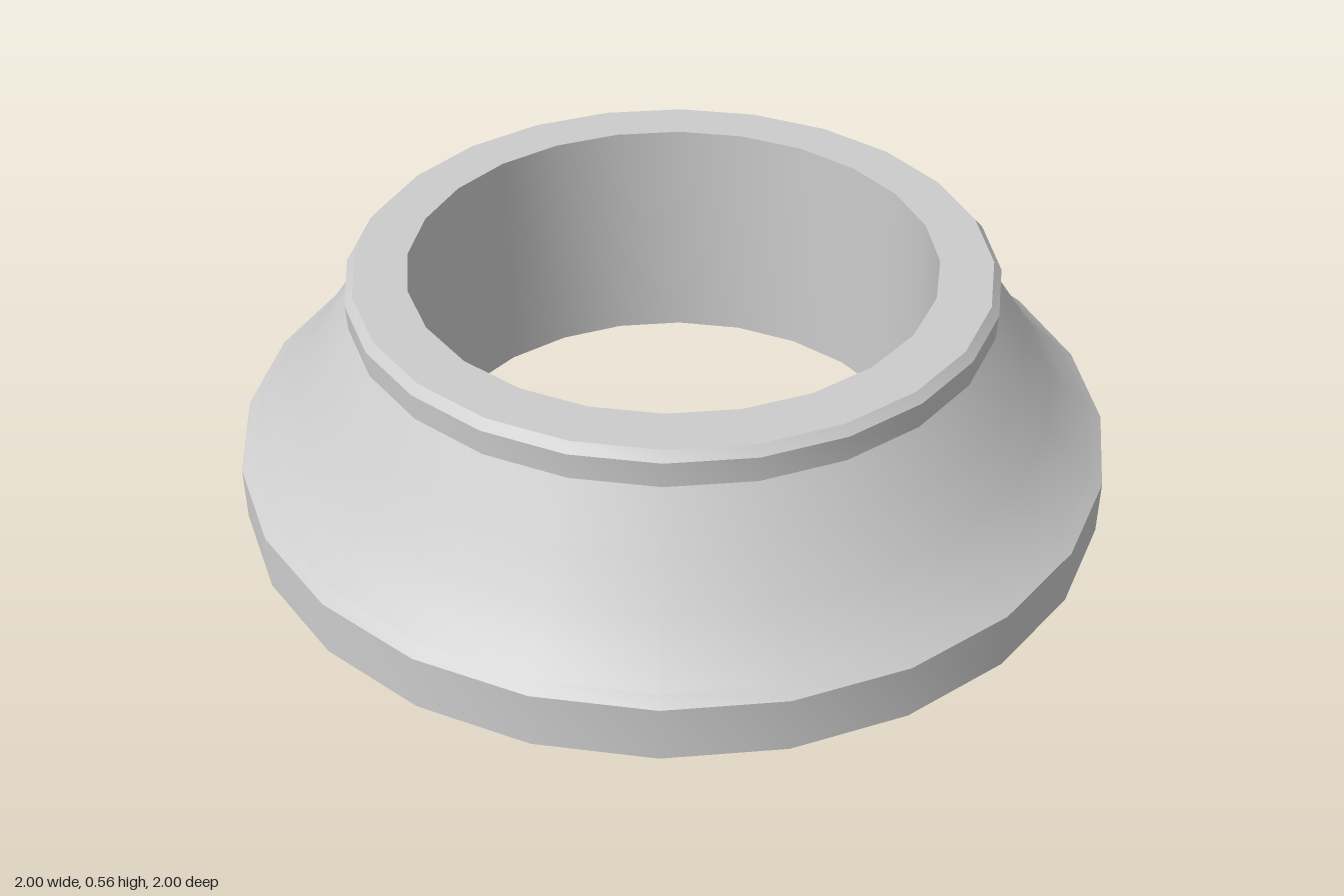
import * as THREE from 'three';
import { toCreasedNormals } from 'three/addons/utils/BufferGeometryUtils.js';

const SIDES = 24;
const BORE = 0.595;

export function createModel() {
  const group = new THREE.Group();
  group.name = 'flaredCollar';
  const grey = new THREE.MeshStandardMaterial({ color: 0xcccccc });
  grey.name = 'light grey';

  // Revolves a [radius, height] profile, keeping bevel edges crisp
  function ring(name, profile) {
    const points = profile.map(([r, y]) => new THREE.Vector2(r, y));
    const geometry = toCreasedNormals(new THREE.LatheGeometry(points, SIDES), 0.6);
    const mesh = new THREE.Mesh(geometry, grey);
    mesh.name = name;
    group.add(mesh);
  }

  // Flat underside and upright base band with small bevels
  ring('baseFlange', [[BORE, 0], [0.98, 0], [1, 0.015], [1, 0.145], [0.975, 0.165]]);

  // Concave flare from the base up to the neck
  ring('flaredCove', [[0.975, 0.165], [0.925, 0.21], [0.865, 0.28], [0.8, 0.378], [0.73, 0.485]]);

  // Upright lip and flat top
  ring('topRim', [[0.73, 0.485], [0.733, 0.545], [0.715, 0.565], [BORE, 0.565]]);

  // Straight inner wall
  ring('bore', [[BORE, 0.565], [BORE, 0]]);

  return group;
}
